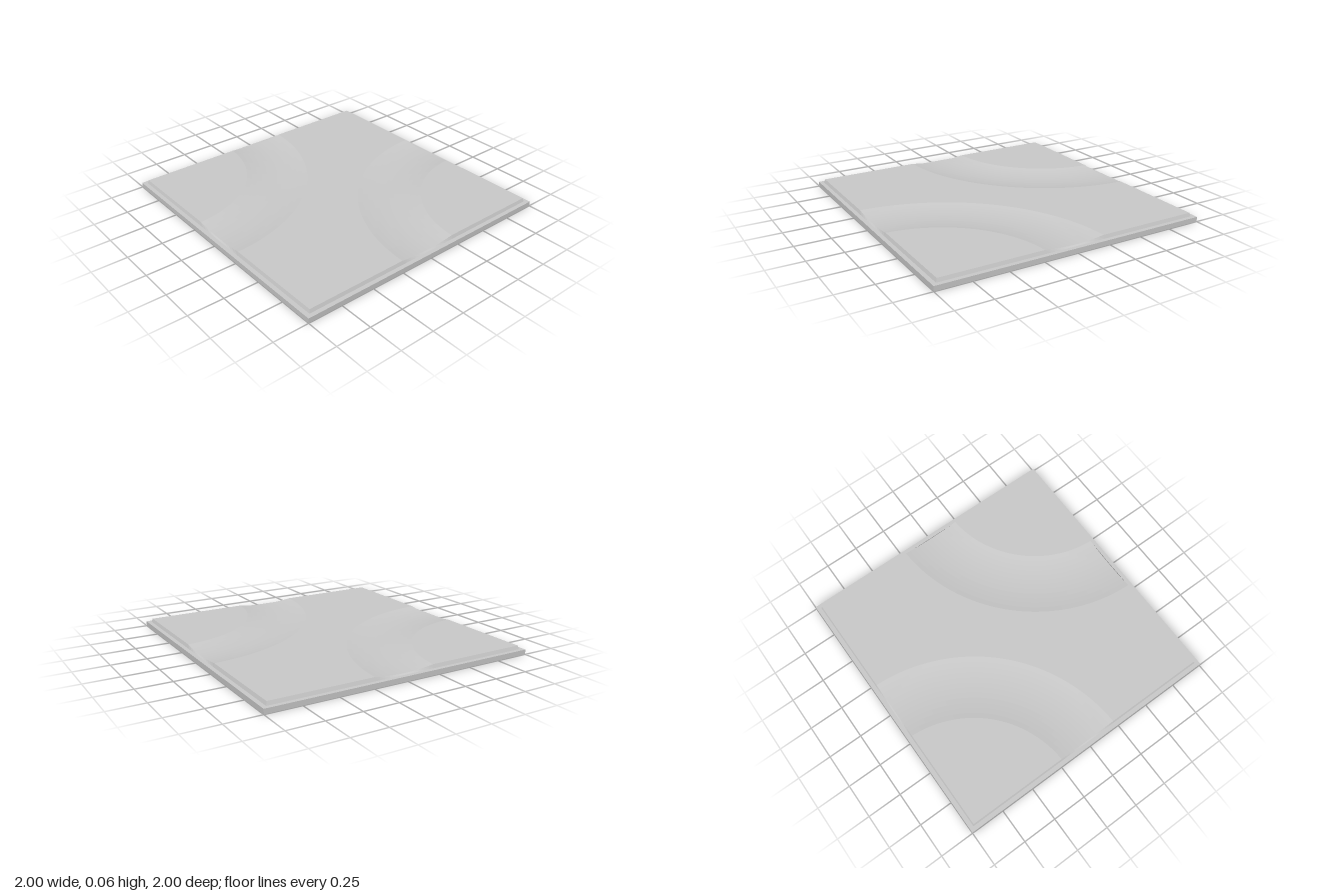
import * as THREE from 'three';

const BASE_TOP = 0.035, TOP = 0.06, POCKET_DEPTH = 0.022;
const EDGE = 0.962, SKIRT = 0.97; // half size of the raised plate at its top and foot
const PITCH = 0.48, POCKET = 0.225; // pocket spacing and half width

// Surface through rows of points; faces row direction x column direction
function loft(rows) {
  const cols = rows[0].length, index = [];
  for (let i = 0; i < rows.length - 1; i++) {
    for (let j = 0; j < cols - 1; j++) {
      const a = i * cols + j, b = a + cols;
      index.push(a, b, a + 1, b, b + 1, a + 1);
    }
  }
  const geo = new THREE.BufferGeometry();
  geo.setAttribute('position', new THREE.Float32BufferAttribute(rows.flat(2), 3));
  geo.setIndex(index);
  geo.computeVertexNormals();
  return geo;
}

// Closed rounded square as [x, z] points, centred on the origin
function roundedSquare(half, radius, steps = 6) {
  const pts = [];
  for (let q = 0; q < 4; q++) {
    const sx = q === 0 || q === 3 ? 1 : -1, sz = q < 2 ? -1 : 1;
    for (let k = 0; k <= steps; k++) {
      const a = (q + k / steps) * Math.PI / 2;
      pts.push([sx * (half - radius) + radius * Math.cos(a), sz * (half - radius) - radius * Math.sin(a)]);
    }
  }
  pts.push(pts[0]);
  return pts;
}

// Half of the raised plate: corner flat, curved channel, flat up to the diagonal, sloped rim
function plateHalf() {
  const n = 48, bands = 12, mid = 1, halfWidth = 0.225, sag = 0.017;
  const rows = [];
  const addRow = (pts) => rows.push([
    [-SKIRT, BASE_TOP, pts[0][2] * (Math.abs(pts[0][2]) === EDGE ? SKIRT / EDGE : 1)],
    ...pts,
    [pts[n][0] * (Math.abs(pts[n][0]) === EDGE ? SKIRT / EDGE : 1), BASE_TOP, -SKIRT],
  ]);
  addRow(Array.from({ length: n + 1 }, () => [-EDGE, TOP, -EDGE]));
  for (let i = 0; i <= bands; i++) {
    const t = 2 * i / bands - 1, r = mid + halfWidth * t;
    const y = TOP - sag * (1 - t * t);
    const start = Math.asin((1 - EDGE) / r); // keeps each arc end on the plate edge
    addRow(Array.from({ length: n + 1 }, (_, j) => {
      const a = start + (Math.PI / 2 - 2 * start) * j / n;
      return [-1 + r * Math.sin(a), y, -1 + r * Math.cos(a)];
    }));
  }
  addRow(Array.from({ length: n + 1 }, (_, j) => {
    const s = EDGE * (2 * j / n - 1);
    return [s, TOP, -s];
  }));
  return loft(rows);
}

export function createModel() {
  const model = new THREE.Group();
  const smooth = new THREE.MeshStandardMaterial({ color: 0xcccccc });
  const flat = new THREE.MeshStandardMaterial({ color: 0xcccccc, flatShading: true });
  const add = (name, geo, mat) => {
    const mesh = new THREE.Mesh(geo, mat);
    mesh.name = name;
    model.add(mesh);
    return mesh;
  };

  // Underside rib frame with a 4 x 4 grid of rounded openings
  const frame = new THREE.Shape([[-1, -1], [1, -1], [1, 1], [-1, 1]].map(p => new THREE.Vector2(...p)));
  const opening = roundedSquare(POCKET, 0.06);
  // Pocket walls slope inward and round into the floor
  const walls = loft([[0.225, 0.06, 0], [0.219, 0.054, 0.012], [0.213, 0.048, 0.018], [0.203, 0.038, POCKET_DEPTH]]
    .map(([half, radius, y]) => roundedSquare(half, radius).map(([x, z]) => [x, y, z])));
  for (let i = 0; i < 4; i++) {
    for (let j = 0; j < 4; j++) {
      const x = (i - 1.5) * PITCH, z = (j - 1.5) * PITCH;
      frame.holes.push(new THREE.Path(opening.slice(0, -1).map(p => new THREE.Vector2(p[0] + x, p[1] + z))));
      add('pocketWall', walls, smooth).position.set(x, 0, z);
    }
  }
  const ribs = new THREE.ExtrudeGeometry(frame, { depth: POCKET_DEPTH, bevelEnabled: false });
  ribs.rotateX(Math.PI / 2).translate(0, POCKET_DEPTH, 0);
  add('ribFrame', ribs, flat);

  // Solid slab: pocket floors below, ledge above
  const slab = new THREE.BoxGeometry(2, BASE_TOP - POCKET_DEPTH, 2);
  slab.translate(0, (BASE_TOP + POCKET_DEPTH) / 2, 0);
  add('baseSlab', slab, flat);

  // Raised plate: two identical halves, each with a quarter-circle channel
  const half = plateHalf();
  for (let k = 0; k < 2; k++) add('channelPlate', half, flat).rotation.y = k * Math.PI;
  return model;
}
